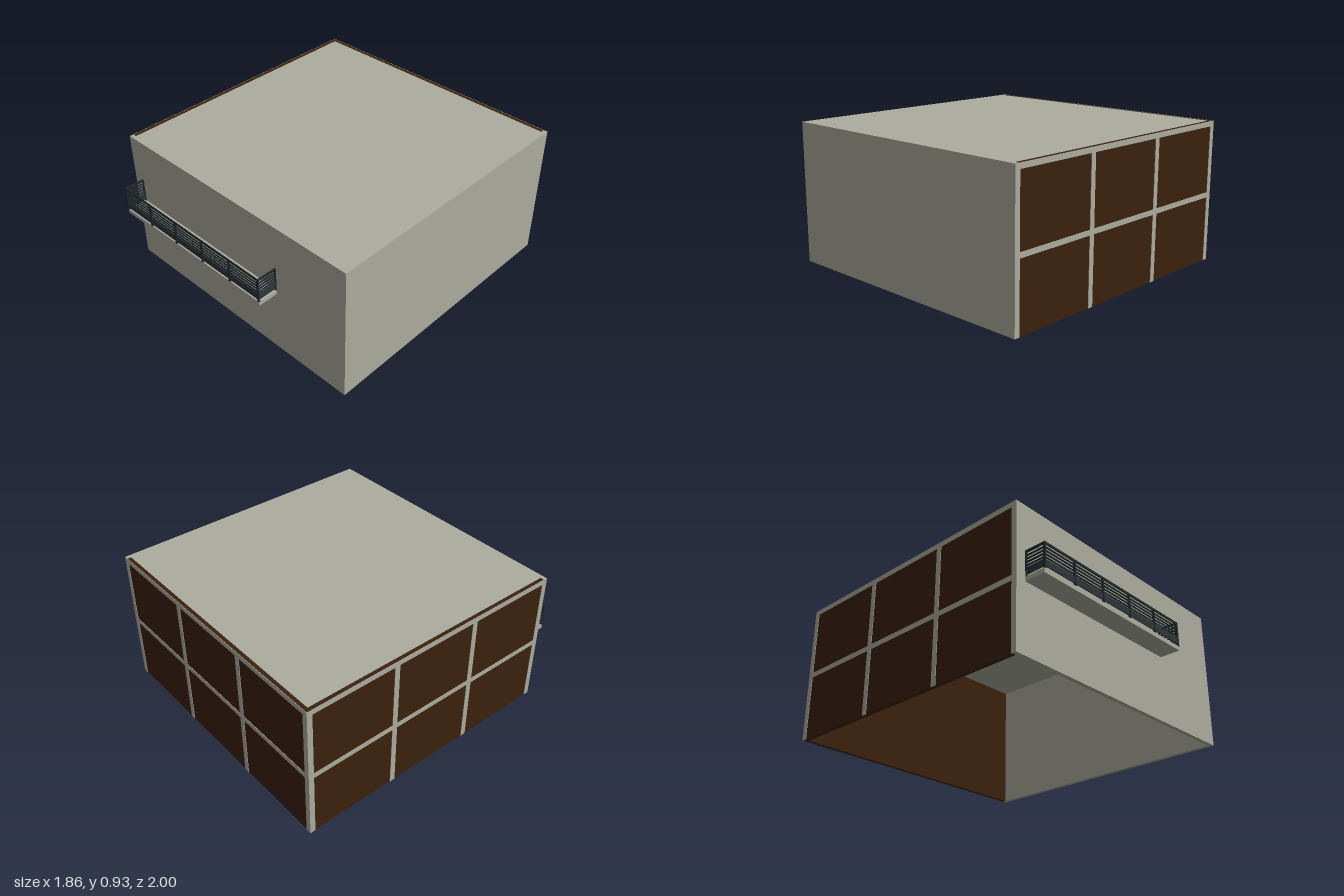
import * as THREE from 'three';

export function createModel() {
  const root = new THREE.Group();
  const mat = (name, color) => {
    const m = new THREE.MeshStandardMaterial({ color });
    m.name = name;
    return m;
  };
  const plaster = mat('plaster', 0xadac9f);
  const brown = mat('dark brown panel', 0x3b210e);
  const metal = mat('dark metal', 0x22292c);
  const slat = mat('slate panel', 0x2d3639);

  // Box given by its minimum and maximum on each axis
  const box = (parent, name, material, x0, x1, y0, y1, z0, z1) => {
    const mesh = new THREE.Mesh(new THREE.BoxGeometry(x1 - x0, y1 - y0, z1 - z0), material);
    mesh.position.set((x0 + x1) / 2, (y0 + y1) / 2, (z0 + z1) / 2);
    mesh.name = name;
    parent.add(mesh);
  };

  const W = 0.93, H = 0.93, F = 0.86, B = -1, T = 0.028, P = 0.003;

  // Hollow room, open underneath
  const room = new THREE.Group();
  room.name = 'room';
  root.add(room);
  box(room, 'frontWall', plaster, -W, W, 0, H, F - T, F);
  box(room, 'leftWall', plaster, W - T, W, 0, H, B, F - T);
  box(room, 'roof', plaster, -W + T, W - T, H - T, H, B + T, F - T);
  box(room, 'backPanelWall', brown, -W + P, W - T, 0, H, B + P, B + T);
  box(room, 'rightPanelWall', brown, -W + P, -W + T, 0, H, B + T, F - T);

  // Thin window frames on the back and right walls
  const frame = new THREE.Group();
  frame.name = 'windowFrames';
  root.add(frame);
  const bar = 0.036;
  const span = 2 * W;
  for (let i = 0; i < 4; i++) {
    const s = (i / 3) * (span - bar);
    box(frame, 'backMullion', plaster, -W + s, -W + s + bar, 0, H, B, B + P);
    box(frame, 'rightMullion', plaster, -W, -W + P, 0, H, B + s, B + s + bar);
  }
  for (const y of [0.43, H - 0.033]) {
    box(frame, 'backTransom', plaster, -W, W, y, y + 0.033, B, B + P);
    box(frame, 'rightTransom', plaster, -W, -W + P, y, y + 0.033, B, F);
  }

  // Balcony slab
  const balcony = new THREE.Group();
  balcony.name = 'balcony';
  root.add(balcony);
  const x0 = -0.86, x1 = 0.39, zf = 1;
  box(balcony, 'balconySlab', plaster, x0, x1, 0.44, 0.468, F, zf - 0.003);

  // Posts along the front and against the wall
  const r = 0.012;
  for (let i = 0; i < 6; i++) {
    const x = x0 + (i / 5) * (x1 - x0 - r);
    box(balcony, 'railPost', metal, x, x + r, 0.468, 0.632, zf - r, zf);
  }
  for (const x of [x0, x1 - r]) box(balcony, 'wallPost', metal, x, x + r, 0.468, 0.632, F, F + 0.006);

  // Horizontal rails and the solid lower panel on three sides
  const rails = [
    ['lowerPanel', 0.482, 0.526, slat],
    ['rail', 0.534, 0.543, metal],
    ['rail', 0.555, 0.564, metal],
    ['rail', 0.576, 0.585, metal],
    ['rail', 0.597, 0.606, metal],
    ['topRail', 0.619, 0.635, metal],
  ];
  for (const [name, a, b, m] of rails) {
    box(balcony, name, m, x0 + 0.002, x1 - 0.002, a, b, zf - 0.009, zf - 0.003);
    for (const x of [x0 + 0.003, x1 - 0.009]) box(balcony, name, m, x, x + 0.006, a, b, F, zf - 0.009);
  }
  return root;
}
